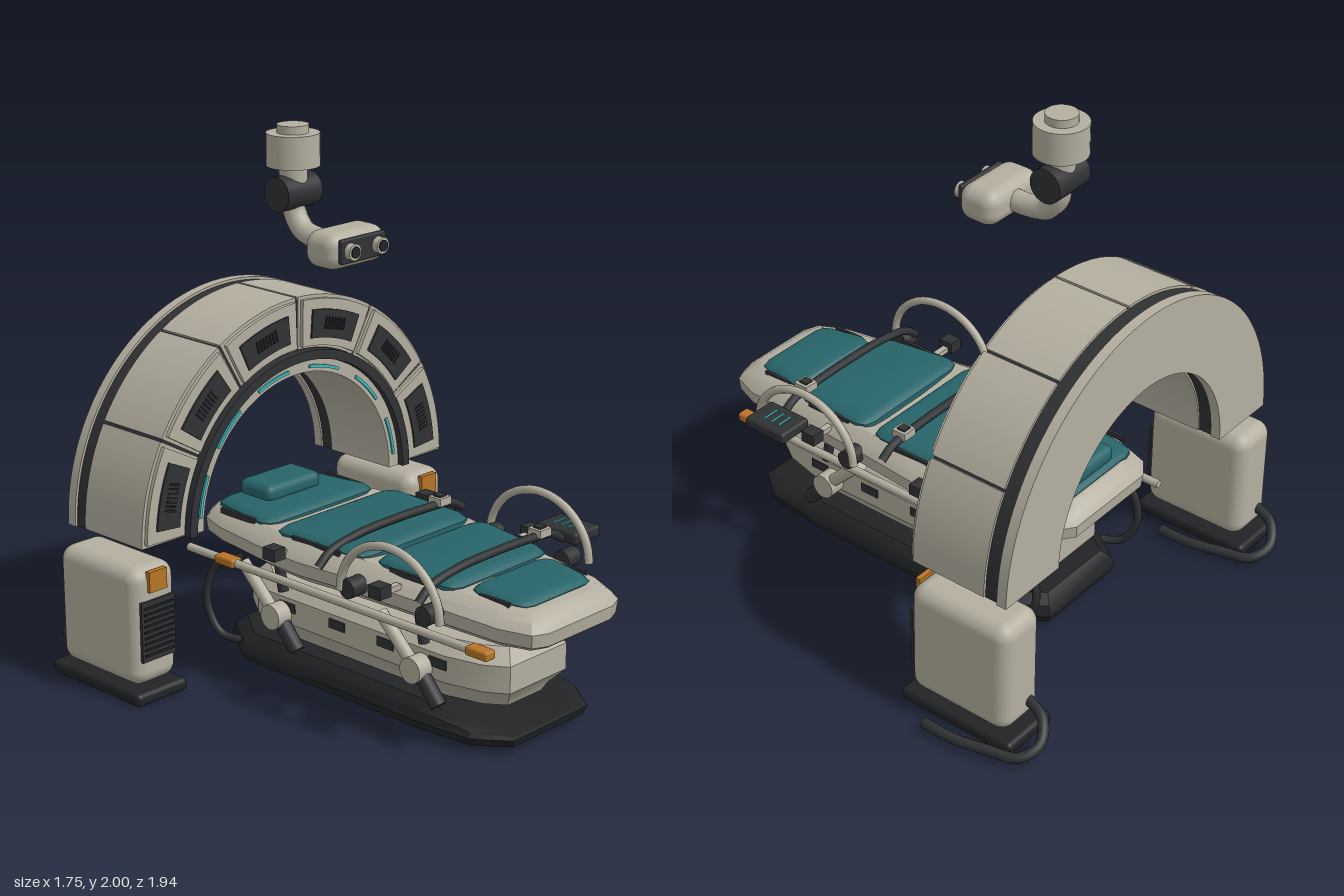
import * as THREE from 'three';
import { toCreasedNormals } from 'three/addons/utils/BufferGeometryUtils.js';
import { RoundedBoxGeometry } from 'three/addons/geometries/RoundedBoxGeometry.js';

const mat = (name, color) => Object.assign(new THREE.MeshStandardMaterial({ color }), { name });
const shell = mat('warm grey shell', 0xb4afa0);
const dark = mat('dark rubber', 0x303133);
const black = mat('black base', 0x222325);
const teal = mat('teal cushion', 0x276469);
const glow = mat('cyan light', 0x3fb4bd);
const orange = mat('orange accent', 0xb87426);

const V = (x, y, z) => new THREE.Vector3(x, y, z);

export function createModel() {
  const root = new THREE.Group();
  root.name = 'medicalScanner';
  const body = new THREE.Group();
  body.name = 'scannerBody';
  body.position.x = -0.055;
  root.add(body);

  const add = (name, geo, m, x = 0, y = 0, z = 0, parent = body) => {
    const mesh = new THREE.Mesh(geo, m);
    mesh.name = name;
    mesh.position.set(x, y, z);
    parent.add(mesh);
    return mesh;
  };
  const box = (w, h, d) => new THREE.BoxGeometry(w, h, d);
  const round = (w, h, d, r) => new RoundedBoxGeometry(w, h, d, 4, r);
  const cylX = (r, len) => new THREE.CylinderGeometry(r, r, len, 24).rotateZ(Math.PI / 2);
  const cylZ = (r, len) => new THREE.CylinderGeometry(r, r, len, 24).rotateX(Math.PI / 2);
  const tube = (name, pts, r, m) =>
    add(name, new THREE.TubeGeometry(new THREE.CatmullRomCurve3(pts), 32, r, 10), m);
  const rod = (name, a, b, r, m) => {
    const mesh = add(name, new THREE.CylinderGeometry(r, r, a.distanceTo(b), 14), m);
    mesh.position.copy(a).add(b).multiplyScalar(0.5);
    mesh.quaternion.setFromUnitVectors(V(0, 1, 0), b.clone().sub(a).normalize());
  };

  // Stacked slab: half outline [x, z] from foot to head, levels [y, inset], optional height rule
  function slab(half, levels, rule = (y) => y) {
    const outline = [...half, ...half.map(([x, z]) => [-x, z]).reverse()];
    const zc = (half[0][1] + half[half.length - 1][1]) / 2;
    const hz = half[0][1] - zc;
    const n = outline.length;
    const pos = [], idx = [];
    for (const [y, inset] of levels)
      for (const [x, z] of outline) {
        const pz = zc + (z - zc) * (1 - inset / hz);
        pos.push(x - Math.sign(x) * inset, rule(y, pz), pz);
      }
    for (let k = 0; k < levels.length - 1; k++)
      for (let i = 0; i < n; i++) {
        const a = k * n + i, b = k * n + (i + 1) % n;
        idx.push(a, b, b + n, a, b + n, a + n);
      }
    const t = (levels.length - 1) * n;
    for (let i = 1; i < n - 1; i++) idx.push(t, t + i, t + i + 1, 0, i + 1, i);
    const g = new THREE.BufferGeometry();
    g.setAttribute('position', new THREE.Float32BufferAttribute(pos, 3));
    g.setIndex(idx);
    return toCreasedNormals(g, 0.55);
  }

  // Floor base, rising from a low toe
  add('couchBase', slab(
    [[0.2, 0.84], [0.29, 0.72], [0.31, 0.5], [0.31, -0.4], [0.2, -0.56]],
    [[0.015, 0.04], [0.03, 0.01], [0.06, 0], [0.1, 0.01], [0.13, 0.04]],
    (y, z) => (y > 0.06 ? 0.06 + (y - 0.06) * THREE.MathUtils.clamp((0.86 - z) / 0.34, 0.15, 1) : y)), black);
  // Lift body between base and table
  add('liftBody', slab(
    [[0.15, 0.78], [0.2, 0.7], [0.235, 0.55], [0.235, -0.38], [0.15, -0.5]],
    [[0.12, 0.06], [0.15, 0.045], [0.2, 0], [0.3, 0], [0.35, 0.045]]), shell);

  // Table top and cushions share a gentle drop towards the foot
  const drop = (y, z) => y - Math.max(0, z - 0.3) * 0.06;
  add('table', slab(
    [[0.17, 0.965], [0.23, 0.94], [0.275, 0.83], [0.345, 0.2], [0.365, -0.05], [0.355, -0.2],
      [0.31, -0.5], [0.27, -0.62], [0.2, -0.67]],
    [[0.405, 0.13], [0.44, 0.05], [0.475, 0.005], [0.525, 0], [0.555, 0.02], [0.58, 0.06]], drop), shell);
  const cushions = [[0.87, 0.63, 0.185, 0.205], [0.61, 0.25, 0.255, 0.275],
    [0.21, -0.22, 0.29, 0.305], [-0.27, -0.6, 0.28, 0.24]];
  cushions.forEach(([f, b, wf, wb]) => {
    add('cushion', slab(
      [[wf - 0.05, f], [wf - 0.015, f - 0.012], [wf, f - 0.045], [wb, b + 0.045], [wb - 0.015, b + 0.012], [wb - 0.05, b]],
      [[0.56, 0], [0.583, 0], [0.595, 0.012], [0.601, 0.035]], drop), teal);
    for (const s of [-1, 1])
      add('cushionClip', box(0.012, 0.02, (f - b) * 0.55), dark, s * (Math.max(wf, wb) - 0.003), drop(0.578, (f + b) / 2), (f + b) / 2);
  });
  add('pillow', round(0.28, 0.07, 0.17, 0.03), teal, 0, 0.62, -0.5);

  // Straps with buckles
  for (const z of [0.08, 0.56]) {
    tube('strap', [[-0.38, 0.54], [-0.32, 0.585], [-0.18, 0.613], [0, 0.62], [0.18, 0.617], [0.32, 0.605], [0.38, 0.57]]
      .map(([x, y]) => V(x, y, z)), 0.016, dark);
    add('buckle', box(0.06, 0.03, 0.06), shell, 0.255, 0.63, z);
    add('buckleButton', box(0.035, 0.008, 0.035), dark, 0.255, 0.648, z);
  }

  // Everything that repeats on both sides of the couch
  for (const s of [-1, 1]) {
    const arc = [];
    for (let i = 0; i <= 12; i++) {
      const a = Math.PI * i / 12;
      arc.push(V(s * 0.395, 0.5 + 0.215 * Math.sin(a), 0.44 + 0.235 * Math.cos(a)));
    }
    tube('sideRail', arc, 0.016, shell);
    for (const z of [0.6, 0.24]) add('railKnob', cylX(0.036, 0.07), dark, s * 0.365, 0.51, z);
    for (const z of [0.4, -0.12]) {
      add('clamp', box(0.055, 0.045, 0.06), dark, s * 0.4, 0.55, z);
      add('clampArm', box(0.09, 0.02, 0.025), shell, s * 0.35, 0.54, z);
    }
    rod('underRail', V(s * 0.32, 0.41, 0.76), V(s * 0.32, 0.41, -0.66), 0.016, shell);
    for (const z of [0.79, -0.45]) add('releaseHandle', round(0.052, 0.035, 0.1, 0.01), orange, s * 0.32, 0.412, z);
    for (const z of [0.45, -0.25]) {
      add('liftPivot', cylX(0.048, 0.065), shell, s * 0.27, 0.235, z);
      rod('liftArm', V(s * 0.27, 0.235, z), V(s * 0.27, 0.4, z - 0.17), 0.024, shell);
      rod('lowerArm', V(s * 0.26, 0.235, z), V(s * 0.26, 0.12, z + 0.1), 0.03, dark);
      rod('rearLink', V(s * 0.25, 0.33, z + 0.02), V(s * 0.25, 0.43, z), 0.02, dark);
    }
    for (const z of [0.52, 0.27, 0.03, -0.225]) add('sidePort', box(0.01, 0.036, 0.08), dark, s * 0.234, 0.265, z);
    tube('couchHose', [V(s * 0.26, 0.42, -0.42), V(s * 0.3, 0.36, -0.54), V(s * 0.31, 0.22, -0.58),
      V(s * 0.3, 0.1, -0.52), V(s * 0.26, 0.08, -0.42)], 0.015, dark);

    // Arch pedestal
    const px = s * 0.71;
    add('pedestal', round(0.205, 0.45, 0.43, 0.055), shell, px, 0.285, -0.62);
    add('pedestalFoot', round(0.24, 0.05, 0.49, 0.02), black, px, 0.026, -0.625);
    add('pedestalBadge', box(0.082, 0.078, 0.02), orange, px, 0.46, -0.402);
    add('pedestalGrille', box(0.155, 0.23, 0.012), dark, px, 0.275, -0.403);
    for (let i = 0; i < 9; i++) add('grilleSlat', box(0.135, 0.008, 0.01), black, px, 0.185 + i * 0.0225, -0.396);
    tube('pedestalCable', [V(px - 0.04, 0.14, -0.82), V(px - 0.01, 0.12, -0.91), V(px + 0.06, 0.07, -0.955),
      V(px + 0.13, 0.04, -0.92), V(px + 0.165, 0.035, -0.8), V(px + 0.19, 0.032, -0.68), V(px + 0.19, 0.03, -0.55)], 0.02, dark);
  }

  // Hand control on the left rail
  add('handControl', round(0.145, 0.045, 0.19, 0.012), dark, 0.45, 0.578, 0.53);
  for (let i = 0; i < 3; i++) add('controlLight', box(0.07, 0.004, 0.008), glow, 0.45, 0.602, 0.49 + i * 0.035);

  // Arch built from ring sectors
  const arch = new THREE.Group();
  arch.name = 'scannerArch';
  arch.position.y = 0.585;
  body.add(arch);
  const sector = (r0, r1, a0, a1, depth) => {
    const s = new THREE.Shape();
    s.absarc(0, 0, r1, a0, a1, false);
    s.absarc(0, 0, r0, a1, a0, true);
    s.closePath();
    const steps = Math.max(8, Math.ceil((a1 - a0) * 18));
    return toCreasedNormals(new THREE.ExtrudeGeometry(s, { depth, bevelEnabled: false, curveSegments: steps }), 0.4);
  };
  const deg = Math.PI / 180;
  add('archCore', sector(0.492, 0.765, 0, Math.PI, 0.37), dark, 0, 0, -0.775, arch);
  add('archBackPlate', sector(0.485, 0.775, 0, Math.PI, 0.04), shell, 0, 0, -0.805, arch);
  add('archInnerRing', sector(0.485, 0.535, 0, Math.PI, 0.315), shell, 0, 0, -0.71, arch);
  add('archTrimRing', sector(0.536, 0.572, 0, Math.PI, 0.045), dark, 0, 0, -0.415, arch);
  const segment = sector(0.575, 0.775, -14.6 * deg, 14.6 * deg, 0.31);
  const frame = sector(0.585, 0.762, -13.6 * deg, 13.6 * deg, 0.015);
  const panel = sector(0.615, 0.722, -10 * deg, 10 * deg, 0.007);
  const light = sector(0.5, 0.512, -9 * deg, 9 * deg, 0.007);
  for (let i = 0; i < 6; i++) {
    const g = new THREE.Group();
    g.name = 'archSegment';
    g.rotation.z = (15 + 30 * i) * deg;
    arch.add(g);
    add('segmentShell', segment, shell, 0, 0, -0.71, g);
    add('segmentFrame', frame, shell, 0, 0, -0.4, g);
    add('segmentPanel', panel, dark, 0, 0, -0.385, g);
    add('lightStrip', light, glow, 0, 0, -0.395, g);
    for (let k = -3; k <= 3; k++) add('ventSlot', box(0.045, 0.007, 0.006), black, 0.67, k * 0.016, -0.377, g);
  }

  // Overhead camera arm
  const z0 = -0.41;
  add('ceilingCap', new THREE.CylinderGeometry(0.058, 0.058, 0.04, 32), shell, 0, 1.98, z0);
  add('ceilingMount', new THREE.CylinderGeometry(0.098, 0.098, 0.12, 32), shell, 0, 1.91, z0);
  add('armNeck', new THREE.CylinderGeometry(0.052, 0.052, 0.1, 24), shell, 0, 1.82, z0);
  add('armJoint', cylX(0.064, 0.17), dark, 0, 1.755, z0);
  tube('armElbow', [V(0, 1.74, z0), V(0, 1.68, -0.405), V(0, 1.62, -0.36), V(0, 1.6, -0.29), V(0, 1.6, -0.2)], 0.042, shell);
  add('cameraHead', round(0.285, 0.135, 0.16, 0.052), shell, 0, 1.6, -0.15);
  add('cameraFace', round(0.225, 0.09, 0.02, 0.008), dark, 0, 1.605, -0.067);
  for (const s of [-1, 1]) {
    add('lensRing', cylZ(0.03, 0.03), shell, s * 0.07, 1.605, -0.046);
    add('lensGlass', cylZ(0.021, 0.006), black, s * 0.07, 1.605, -0.03);
  }
  return root;
}
